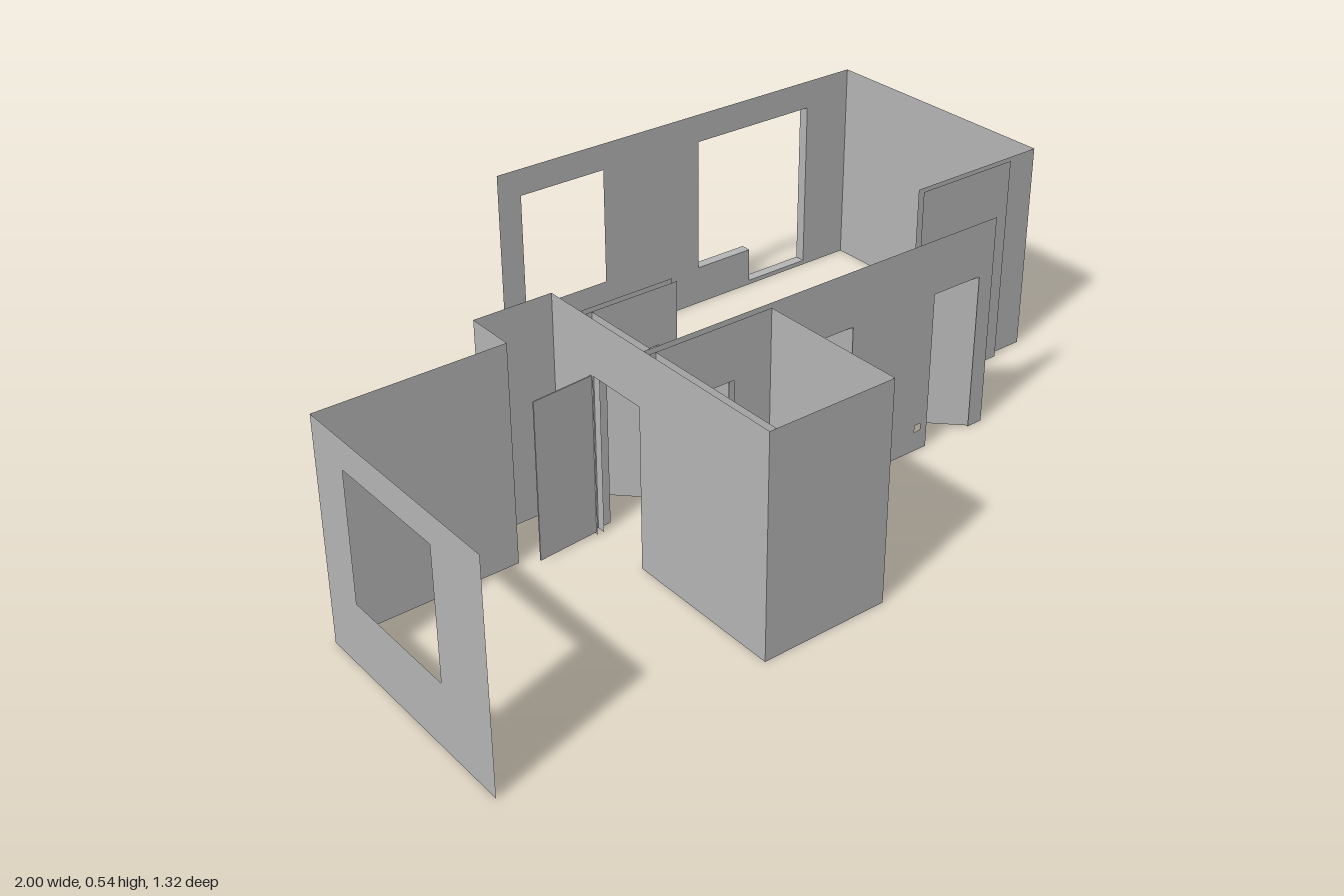
import * as THREE from 'three';

const H = 0.54; // wall height
const DOOR = 0.402; // door opening height

export function createModel() {
  const plaster = new THREE.MeshStandardMaterial({ color: 0xb4b4b4, side: THREE.DoubleSide });
  plaster.name = 'grey plaster';
  const group = new THREE.Group();
  group.name = 'apartmentWalls';

  function add(name, geometry) {
    const mesh = new THREE.Mesh(geometry, plaster);
    mesh.name = name;
    group.add(mesh);
    return mesh;
  }

  // Flat wall from a to b; doors are [a, b] notches, holes are outlines
  function panel(a, b, doors = [], holes = []) {
    const s = new THREE.Shape();
    s.moveTo(a, 0);
    for (const [d0, d1] of doors) {
      s.lineTo(d0, 0);
      s.lineTo(d0, DOOR);
      s.lineTo(d1, DOOR);
      s.lineTo(d1, 0);
    }
    s.lineTo(b, 0);
    s.lineTo(b, H);
    s.lineTo(a, H);
    s.closePath();
    for (const pts of holes) {
      s.holes.push(new THREE.Path(pts.map(([x, y]) => new THREE.Vector2(x, y))));
    }
    return new THREE.ShapeGeometry(s);
  }
  const rect = (x0, x1, y0, y1) => [[x0, y0], [x0, y1], [x1, y1], [x1, y0]];
  const socket = (x) => rect(x - 0.009, x + 0.009, 0.052, 0.07);
  const wallAlongX = (name, z, ...args) => add(name, panel(...args).translate(0, 0, z));
  const wallAlongZ = (name, x, ...args) =>
    add(name, panel(...args).rotateY(-Math.PI / 2).translate(x, 0, 0));

  // Large room: back wall with window and stepped balcony opening
  const balcony = [[0.49, 0.105], [0.49, 0.465], [0.86, 0.465], [0.86, 0.012], [0.665, 0.012], [0.665, 0.105]];
  wallAlongX('backWall', -0.63, -0.12, 1, [], [rect(-0.055, 0.19, 0.16, 0.47), balcony]);
  wallAlongZ('outerSideWall', 1, -0.63, 0.05);
  wallAlongX('largeRoomFrontWall', 0.05, 0.61, 1);
  wallAlongX('corridorEndPanel', 0.067, 0.61, 0.9);

  // Reveal lining around the balcony opening
  balcony.forEach(([x0, y0], i) => {
    const [x1, y1] = balcony[(i + 1) % balcony.length];
    const g = new THREE.PlaneGeometry(Math.hypot(x1 - x0, y1 - y0), 0.028);
    g.rotateX(Math.PI / 2).rotateZ(Math.atan2(y1 - y0, x1 - x0));
    add('balconyReveal', g.translate((x0 + x1) / 2, (y0 + y1) / 2, -0.644));
  });
  // Threshold below the balcony door
  add('balconyThreshold', new THREE.BoxGeometry(0.195, 0.012, 0.028).translate(0.7625, 0.006, -0.644));

  // Corridor wall with three doorways and small socket holes
  wallAlongX('corridorWall', 0.268, -0.36, 0.645,
    [[-0.28, -0.14], [0.07, 0.21], [0.46, 0.6]], [socket(0.04), socket(0.43)]);

  // Projecting small room
  wallAlongX('smallRoomBackWall', 0.286, -0.36, -0.04, [[-0.28, -0.14]]);
  wallAlongX('smallRoomFrontWall', 0.658, -0.36, -0.04);
  wallAlongZ('smallRoomRightWall', -0.04, 0.286, 0.658);
  wallAlongZ('smallRoomInnerLining', -0.343, 0.286, 0.658);

  // Partition with the niche doorway, and its inner lining
  wallAlongZ('partitionWall', -0.36, -0.055, 0.658, [[0.088, 0.25]]);
  wallAlongZ('partitionLining', -0.343, 0.067, 0.268, [[0.088, 0.25]]);

  // Hall partition, two skins
  for (const z of [0.05, 0.067]) wallAlongX('hallPartition', z, -0.36, -0.12, [[-0.31, -0.17]]);

  // Left room with window, and the niche beside it
  wallAlongZ('leftWindowWall', -1, 0.069, 0.658, [], [rect(0.18, 0.49, 0.16, 0.47)]);
  wallAlongX('leftRoomBackWall', 0.069, -1, -0.555);
  wallAlongZ('nicheSideWall', -0.555, -0.055, 0.069);
  wallAlongX('nicheBackWall', -0.055, -0.555, -0.36);

  // Open door leaves, from hinge to free edge
  const leaves = [
    [-0.17, 0.06, -0.28, -0.05],
    [-0.14, 0.27, -0.24, 0.17],
    [0.21, 0.27, 0.11, 0.17],
    [0.6, 0.27, 0.5, 0.17],
    [-0.36, 0.082, -0.517, 0.096],
  ];
  for (const [hx, hz, fx, fz] of leaves) {
    const g = new THREE.BoxGeometry(Math.hypot(fx - hx, fz - hz), 0.396, 0.003);
    g.rotateY(-Math.atan2(fz - hz, fx - hx));
    add('doorLeaf', g.translate((hx + fx) / 2, 0.203, (hz + fz) / 2));
  }
  return group;
}
